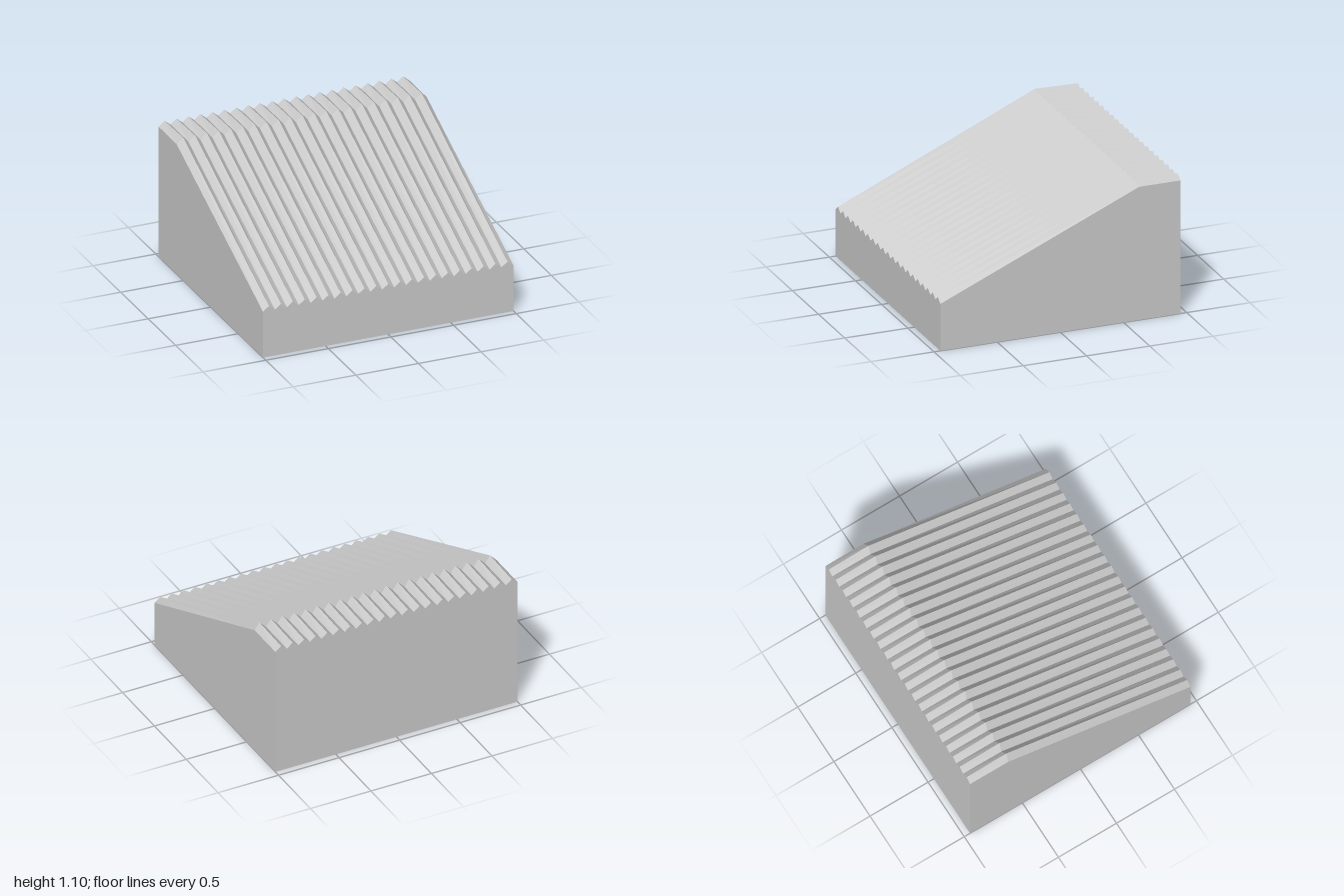
import * as THREE from 'three';

const RIDGES = 21;
// Side profiles [z, y]: front bottom, front top, crest, back top, back bottom
const VALLEY = [[0.95, 0], [0.95, 0.37], [-0.623, 1.05], [-0.95, 1.05], [-0.95, 0]];
const PEAK = [[0.95, 0], [0.95, 0.407], [-0.608, 1.097], [-0.95, 1.088], [-0.95, 0]];

// Point k of the profile at station i; stations alternate valley and peak
function point(i, k) {
  const [z, y] = (i % 2 ? PEAK : VALLEY)[k % 5];
  return [-1 + i / RIDGES, y, z];
}

// Quads across the full width between profile points k and k + 1
function strip(k) {
  const out = [];
  for (let i = 0; i < RIDGES * 2; i++) {
    const a = point(i, k), b = point(i + 1, k), c = point(i + 1, k + 1), d = point(i, k + 1);
    out.push(a, b, c, a, c, d);
  }
  return out;
}

// Flat end wall at station i, facing outward
function endWall(i) {
  const out = [];
  for (let k = 1; k < 4; k++) {
    const [a, b, c] = [point(i, 0), point(i, k), point(i, k + 1)];
    out.push(...(i === 0 ? [a, b, c] : [a, c, b]));
  }
  return out;
}

function makeMesh(name, points) {
  const geometry = new THREE.BufferGeometry();
  geometry.setAttribute('position', new THREE.Float32BufferAttribute(points.flat(), 3));
  geometry.computeVertexNormals();
  const mesh = new THREE.Mesh(geometry, new THREE.MeshStandardMaterial({ color: 0xcccccc, flatShading: true }));
  mesh.name = name;
  return mesh;
}

export function createModel() {
  const group = new THREE.Group();
  group.name = 'ridgedWedge';
  // Walls and underside of the wedge
  group.add(makeMesh('blockWalls', [...strip(0), ...strip(3), ...strip(4), ...endWall(0), ...endWall(RIDGES * 2)]));
  // Corrugated ramp and the level ledge behind it
  group.add(makeMesh('ridgedSlope', strip(1)));
  group.add(makeMesh('ridgedLedge', strip(2)));
  return group;
}
